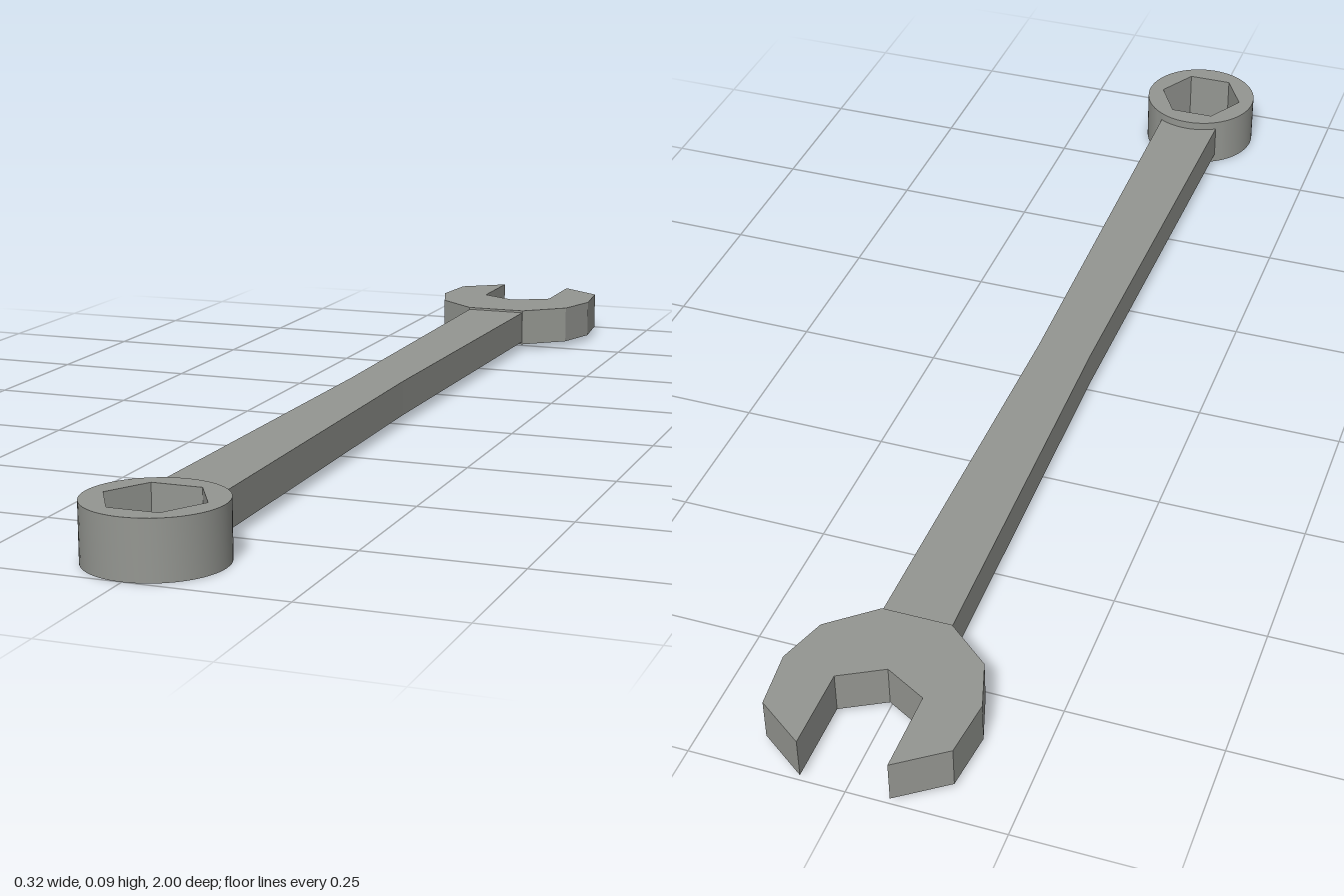
import * as THREE from 'three';
import { toCreasedNormals } from 'three/addons/utils/BufferGeometryUtils.js';

const steel = new THREE.MeshStandardMaterial({ color: 0x949691 });
steel.name = 'grey steel';

// Outline from [x, z] points
function outline(points) {
  return new THREE.Shape(points.map(([x, z]) => new THREE.Vector2(x, -z)));
}

// Close a half outline by mirroring it across x = 0
function mirrored(half) {
  const other = half.filter(([x]) => x !== 0).map(([x, z]) => [-x, z]).reverse();
  return outline([...half, ...other]);
}

// Flat part lying between two heights
function plate(name, shape, y0, y1, curveSegments = 12) {
  const geometry = new THREE.ExtrudeGeometry(shape, {
    depth: y1 - y0, bevelEnabled: false, curveSegments,
  });
  geometry.rotateX(-Math.PI / 2);
  geometry.translate(0, y0, 0);
  const mesh = new THREE.Mesh(geometry, steel);
  mesh.name = name;
  return mesh;
}

export function createModel() {
  const group = new THREE.Group();
  group.name = 'wrench';

  // Open jaw with a V-bottomed slot
  const jaw = mirrored([
    [0, -0.825], [0.07, -0.863], [0.07, -1], [0.148, -0.945],
    [0.158, -0.85], [0.132, -0.77], [0.057, -0.708],
  ]);
  group.add(plate('openJaw', jaw, 0.011, 0.081));

  // Handle, slightly waisted at the middle
  const handle = mirrored([[0.057, -0.73], [0.048, 0], [0.057, 0.803]]);
  group.add(plate('handle', handle, 0.016, 0.077));

  // Ring with a hexagonal socket
  const ringZ = 0.892;
  const ring = new THREE.Shape();
  ring.absarc(0, -ringZ, 0.108, 0, Math.PI * 2, false);
  const hex = [];
  for (let i = 0; i < 6; i++) {
    const a = (i * Math.PI) / 3;
    hex.push(new THREE.Vector2(0.081 * Math.cos(a), -ringZ + 0.081 * Math.sin(a)));
  }
  ring.holes.push(new THREE.Path(hex));
  const ringMesh = plate('ringHead', ring, 0, 0.092, 32);
  ringMesh.geometry = toCreasedNormals(ringMesh.geometry, 0.5);
  group.add(ringMesh);

  return group;
}
